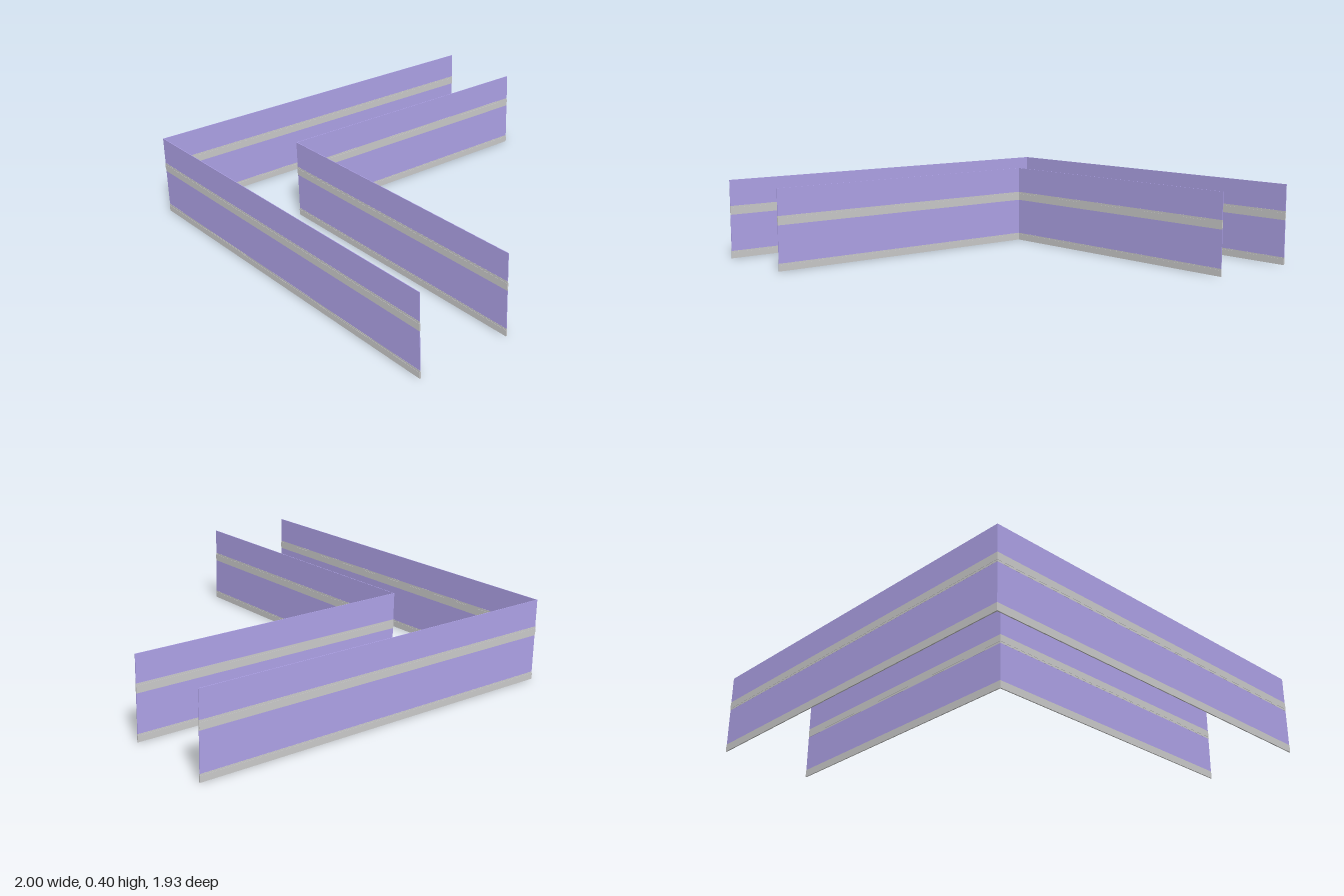
import * as THREE from 'three';

const END_X = 1, END_Z = -0.967;

// Vertical bands of a wall: name, bottom, top, thickness, material key
const BANDS = [
  ['bottomRail', 0, 0.03, 0.006, 'rail'],
  ['bottomRailLip', 0.03, 0.038, 0.004, 'rail'],
  ['lowerPanel', 0.038, 0.224, 0.003, 'panel'],
  ['middleRailLowerLip', 0.224, 0.233, 0.004, 'rail'],
  ['middleRail', 0.233, 0.259, 0.006, 'rail'],
  ['middleRailUpperLip', 0.259, 0.269, 0.004, 'rail'],
  ['upperPanel', 0.269, 0.402, 0.003, 'panel'],
];

// L-shaped strip in plan, extruded upwards; (cx, cz) is the corner of its centre line
function cornerStrip(cx, cz, bottom, top, thickness) {
  const h = thickness / 2;
  const outline = [
    [cx - h, END_Z], [cx - h, cz + h], [END_X, cz + h],
    [END_X, cz - h], [cx + h, cz - h], [cx + h, END_Z],
  ];
  const shape = new THREE.Shape(outline.map(([x, z]) => new THREE.Vector2(x, -z)));
  const geometry = new THREE.ExtrudeGeometry(shape, { depth: top - bottom, bevelEnabled: false });
  return geometry.rotateX(-Math.PI / 2).translate(0, bottom, 0);
}

export function createModel() {
  const materials = {
    rail: new THREE.MeshStandardMaterial({ color: 0xcccccc }),
    panel: new THREE.MeshStandardMaterial({ color: 0xafa3e8 }),
  };
  const model = new THREE.Group();
  model.name = 'cornerBarriers';

  // Two parallel walls turning the same corner
  for (const [name, cx, cz] of [['outerWall', -0.997, 0.964], ['innerWall', -0.52, 0.485]]) {
    const wall = new THREE.Group();
    wall.name = name;
    for (const [part, bottom, top, thickness, key] of BANDS) {
      const mesh = new THREE.Mesh(cornerStrip(cx, cz, bottom, top, thickness), materials[key]);
      mesh.name = part;
      wall.add(mesh);
    }
    model.add(wall);
  }
  return model;
}
